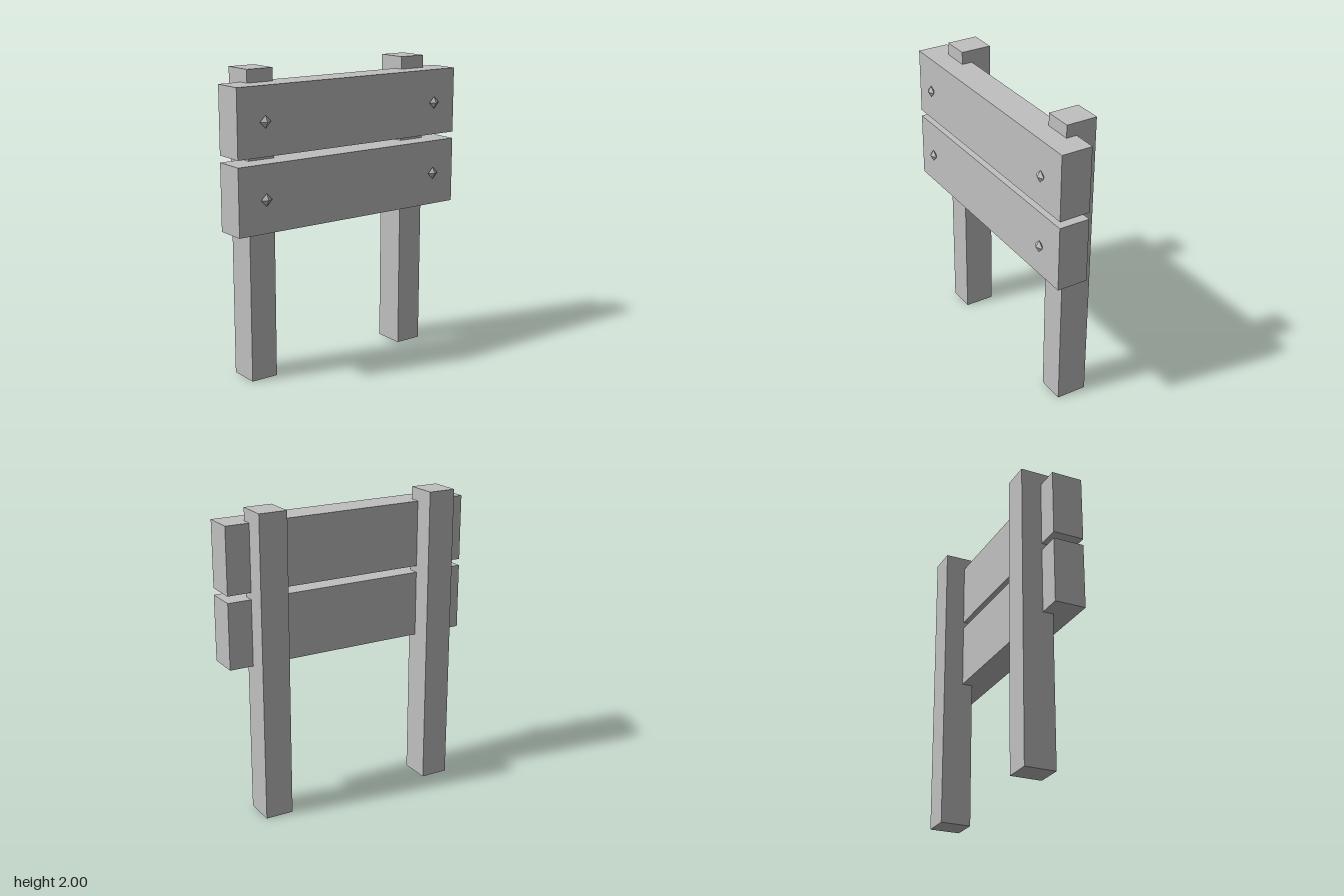
import * as THREE from 'three';

export function createModel() {
  const model = new THREE.Group();
  const grey = new THREE.MeshStandardMaterial({ color: 0xc0c0c0, flatShading: true });
  grey.name = 'plain grey';

  const add = (name, geometry, x, y, z) => {
    const mesh = new THREE.Mesh(geometry, grey);
    mesh.name = name;
    mesh.position.set(x, y, z);
    model.add(mesh);
  };

  // Two square posts standing behind the boards
  const post = new THREE.BoxGeometry(0.186, 2, 0.206);
  for (const [side, s] of [['left', 1], ['right', -1]]) {
    add(`${side}Post`, post, s * 0.603, 1, -0.089);
  }

  // Two horizontal boards, notched over the posts, each with a pair of pointed studs
  const board = new THREE.BoxGeometry(1.708, 0.434, 0.206);
  const stud = new THREE.OctahedronGeometry(0.041).scale(1, 1, 0.56);
  for (const [level, boardY, studY] of [['upper', 1.7, 1.7], ['lower', 1.222, 1.222]]) {
    add(`${level}Board`, board, 0, boardY, 0.047);
    for (const [side, s] of [['Left', 1], ['Right', -1]]) {
      add(`${level}${side}Stud`, stud, s * 0.666, studY, 0.168);
    }
  }
  return model;
}
